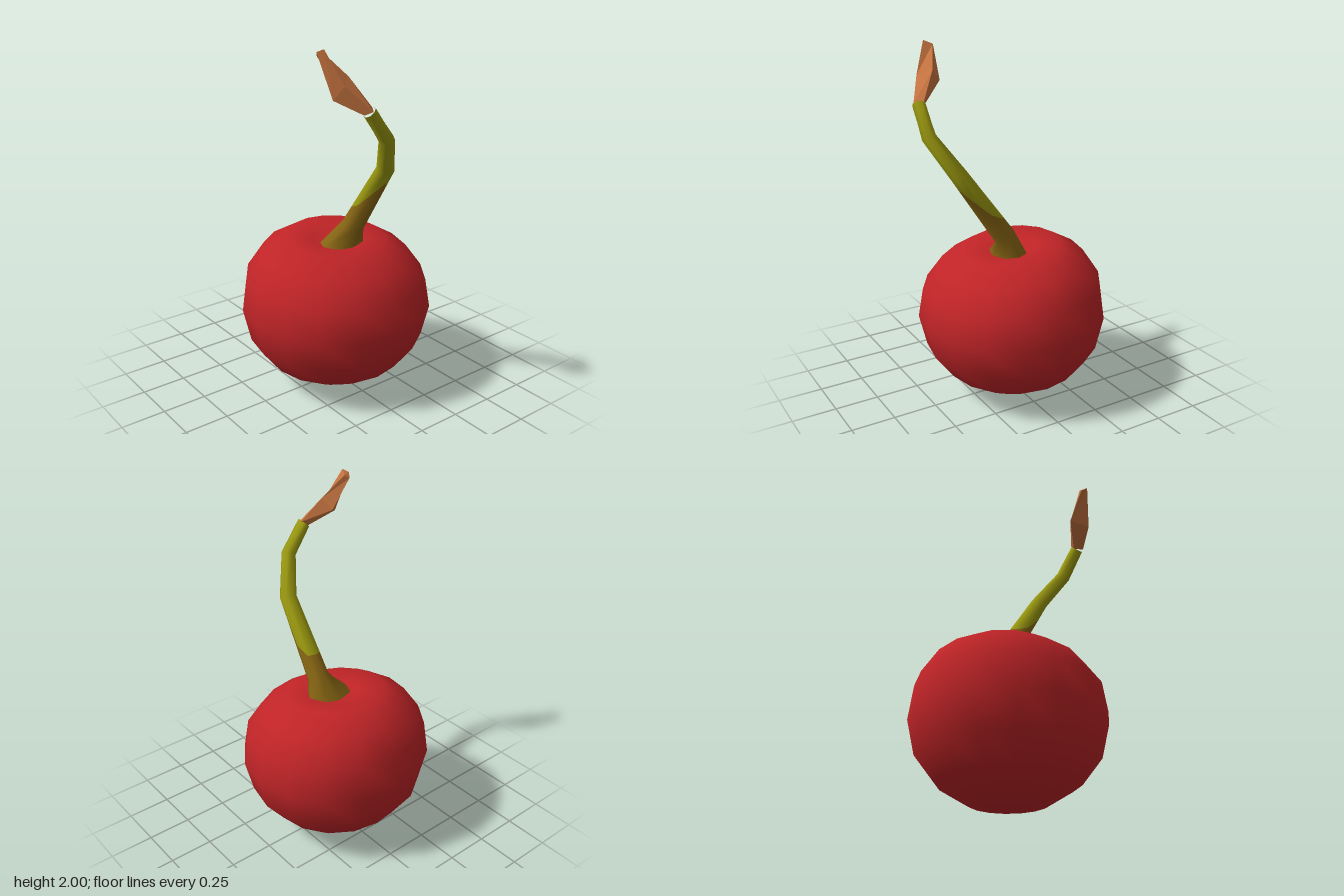
import * as THREE from 'three';
import { mergeVertices } from 'three/addons/utils/BufferGeometryUtils.js';

const material = (name, color) => {
  const m = new THREE.MeshStandardMaterial({ color });
  m.name = name;
  return m;
};
const V = (x, y, z) => new THREE.Vector3(x, y, z);

// Skin stacked rings (counter-clockwise from above); groupOf(row) picks the material.
function loft(rings, groupOf = () => 0, cap = false) {
  const n = rings[0].length;
  const index = [];
  const geo = new THREE.BufferGeometry().setFromPoints(rings.flat());
  for (let r = 0; r < rings.length - 1; r++) {
    geo.addGroup(index.length, n * 6, groupOf(r));
    for (let i = 0; i < n; i++) {
      const a = r * n + i, b = r * n + (i + 1) % n;
      index.push(a, b, b + n, a, b + n, a + n);
    }
  }
  if (cap) {
    const s = (rings.length - 1) * n;
    for (let i = 1; i < n - 1; i++) index.push(s, s + i, s + i + 1);
  }
  geo.setIndex(index);
  geo.computeVertexNormals();
  return geo;
}

export function createModel() {
  const group = new THREE.Group();
  const red = material('fruit red', 0xc02427);
  const brown = material('woody brown', 0x886613);
  const green = material('stem green', 0x9c9a10);
  const tan = material('bud tan', 0xc67440);
  const add = (name, geo, mat) => {
    const mesh = new THREE.Mesh(geo, mat);
    mesh.name = name;
    group.add(mesh);
  };

  // Fruit: a turned body with a dimple, its top leaning down towards the front
  const profile = [
    [0, 0.005], [0.215, 0.05], [0.388, 0.155], [0.5, 0.3], [0.543, 0.485],
    [0.515, 0.665], [0.418, 0.8], [0.28, 0.883], [0.14, 0.865], [0, 0.82],
  ].map(([r, y]) => new THREE.Vector2(r, y));
  let fruit = new THREE.LatheGeometry(profile, 16);
  fruit.deleteAttribute('uv');
  fruit.deleteAttribute('normal');
  const p = fruit.attributes.position;
  for (let i = 0; i < p.count; i++) {
    const lean = 0.1 * THREE.MathUtils.clamp((p.getY(i) - 0.4) / 0.45, 0, 1);
    p.setZ(i, p.getZ(i) * 0.975);
    p.setY(i, p.getY(i) - lean * p.getZ(i));
  }
  fruit = mergeVertices(fruit, 1e-4);
  fruit.computeVertexNormals();
  add('fruit', fruit, red);

  // Stem: rings set square to a bent path, flared where it meets the fruit
  const ring = (centre, tangent, rx, rz = rx) => {
    const t = tangent.normalize();
    const u = V(1, 0, 0).addScaledVector(t, -t.x).normalize();
    const v = u.clone().cross(t);
    return Array.from({ length: 8 }, (_, i) => {
      const a = i * Math.PI / 4;
      return centre.clone().addScaledVector(u, rx * Math.sin(a)).addScaledVector(v, rz * Math.cos(a));
    });
  };
  const foot = ring(V(0.017, 0.845, 0.033), V(0, 1, 0.09), 0.137, 0.1);
  const neck = ring(V(0.064, 0.96, 0.075), V(0, 0.82, 0.57), 0.062);
  const bend = ring(V(0.055, 1.35, 0.348), V(-0.2, 0.85, 0.45), 0.048);
  const elbow = ring(V(-0.043, 1.545, 0.465), V(-0.48, 0.82, 0.25), 0.041);
  const tip = ring(V(-0.155, 1.7, 0.465), V(-0.65, 0.75, -0.1), 0.036);
  // The woody colour climbs further up the underside than the back
  const colourLine = neck.map((q, i) => {
    const under = (1 + Math.cos(i * Math.PI / 4)) / 2;
    return q.clone().lerp(bend[i], 0.25 + 0.62 * under ** 2);
  });
  add('stem', loft([foot, neck, colourLine, bend, elbow, tip], (r) => (r < 2 ? 0 : 1)), [brown, green]);

  // Bud: faceted four-sided tip; each ring runs left, front, right, back
  const bud = loft([
    [V(-0.195, 1.69, 0.475), V(-0.155, 1.705, 0.495), V(-0.125, 1.715, 0.45), V(-0.155, 1.69, 0.435)],
    [V(-0.31, 1.76, 0.38), V(-0.27, 1.83, 0.42), V(-0.2, 1.86, 0.36), V(-0.23, 1.8, 0.305)],
    [V(-0.357, 1.985, 0.315), V(-0.335, 2, 0.345), V(-0.312, 1.98, 0.3), V(-0.335, 1.962, 0.286)],
  ], () => 0, true).toNonIndexed();
  bud.clearGroups();
  bud.computeVertexNormals();
  add('bud', bud, tan);

  return group;
}
